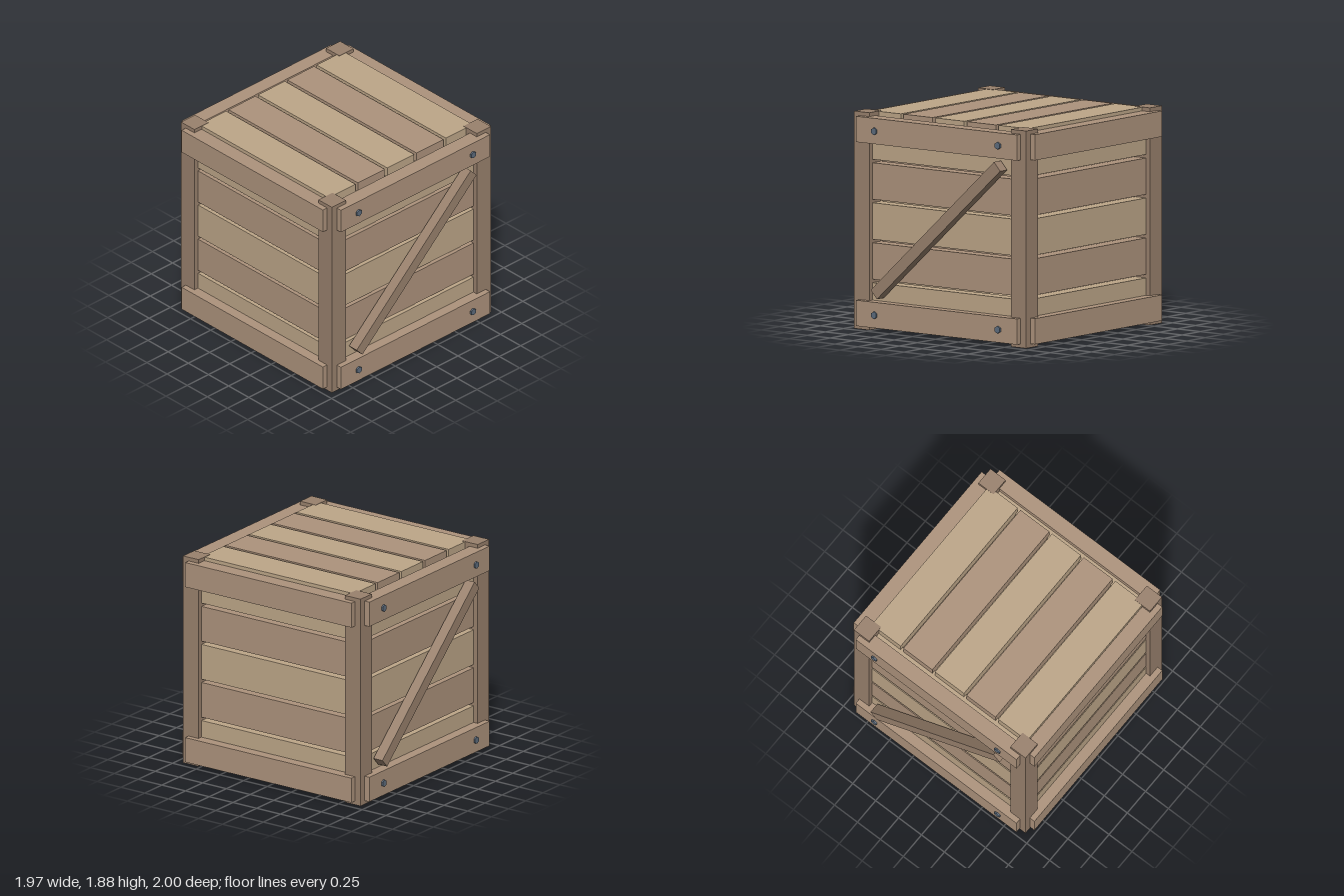
import * as THREE from 'three';

const mat = (color) => new THREE.MeshStandardMaterial({ color, flatShading: true });

export function createModel() {
  const crate = new THREE.Group();
  crate.name = 'crate';
  const lightWood = mat(0xbda688);
  const midWood = mat(0xad937c);
  const darkWood = mat(0x99816d);
  const steel = mat(0x5d6c7d);
  const midY = 0.9375;

  const box = (parent, name, material, size, pos) => {
    const mesh = new THREE.Mesh(new THREE.BoxGeometry(...size), material);
    mesh.name = name;
    mesh.position.set(...pos);
    parent.add(mesh);
    return mesh;
  };

  // Five planks lying in the local XY plane, stacked along Y, in alternating wood
  const plankPanel = (name) => {
    const panel = new THREE.Group();
    panel.name = name;
    for (let i = -2; i <= 2; i++) {
      box(panel, 'plank', i % 2 ? midWood : lightWood, [1.605, 0.315, 0.12], [0, i * 0.345, 0]);
    }
    return panel;
  };

  // Corner posts
  for (const x of [-1, 1]) for (const z of [-1, 1]) {
    box(crate, 'cornerPost', darkWood, [0.165, 1.876, 0.165], [x * 0.853, 0.938, z * 0.853]);
  }

  // Four sides: planks and two rails; front and back also get bolts and a brace
  ['front', 'left', 'back', 'right'].forEach((sideName, i) => {
    const side = new THREE.Group();
    side.name = sideName + 'Side';
    side.rotation.y = i * Math.PI / 2;
    crate.add(side);

    const panel = plankPanel(sideName + 'Planks');
    panel.position.set(0, midY, 0.833);
    side.add(panel);

    for (const y of [-1, 1]) {
      box(side, 'rail', midWood, [1.753, 0.222, 0.135], [0, midY + y * 0.794, 0.918]);
    }
    if (i % 2) return;

    const brace = box(side, 'diagonalBrace', darkWood, [1.82, 0.1, 0.095], [0, midY, 0.9525]);
    brace.rotation.z = THREE.MathUtils.degToRad(42.5);

    for (const x of [-1, 1]) for (const y of [-1, 1]) {
      const bolt = new THREE.Mesh(new THREE.CylinderGeometry(0.032, 0.032, 0.04, 6), steel);
      bolt.name = 'bolt';
      bolt.rotation.x = Math.PI / 2;
      bolt.position.set(x * 0.672, midY + y * 0.794, 0.98);
      side.add(bolt);
    }
  });

  // Lid and floor planks run front to back
  for (const [name, y] of [['lid', 1.813], ['floor', 0.063]]) {
    const panel = plankPanel(name);
    panel.rotation.set(Math.PI / 2, 0, Math.PI / 2);
    panel.position.y = y;
    crate.add(panel);
  }
  return crate;
}
